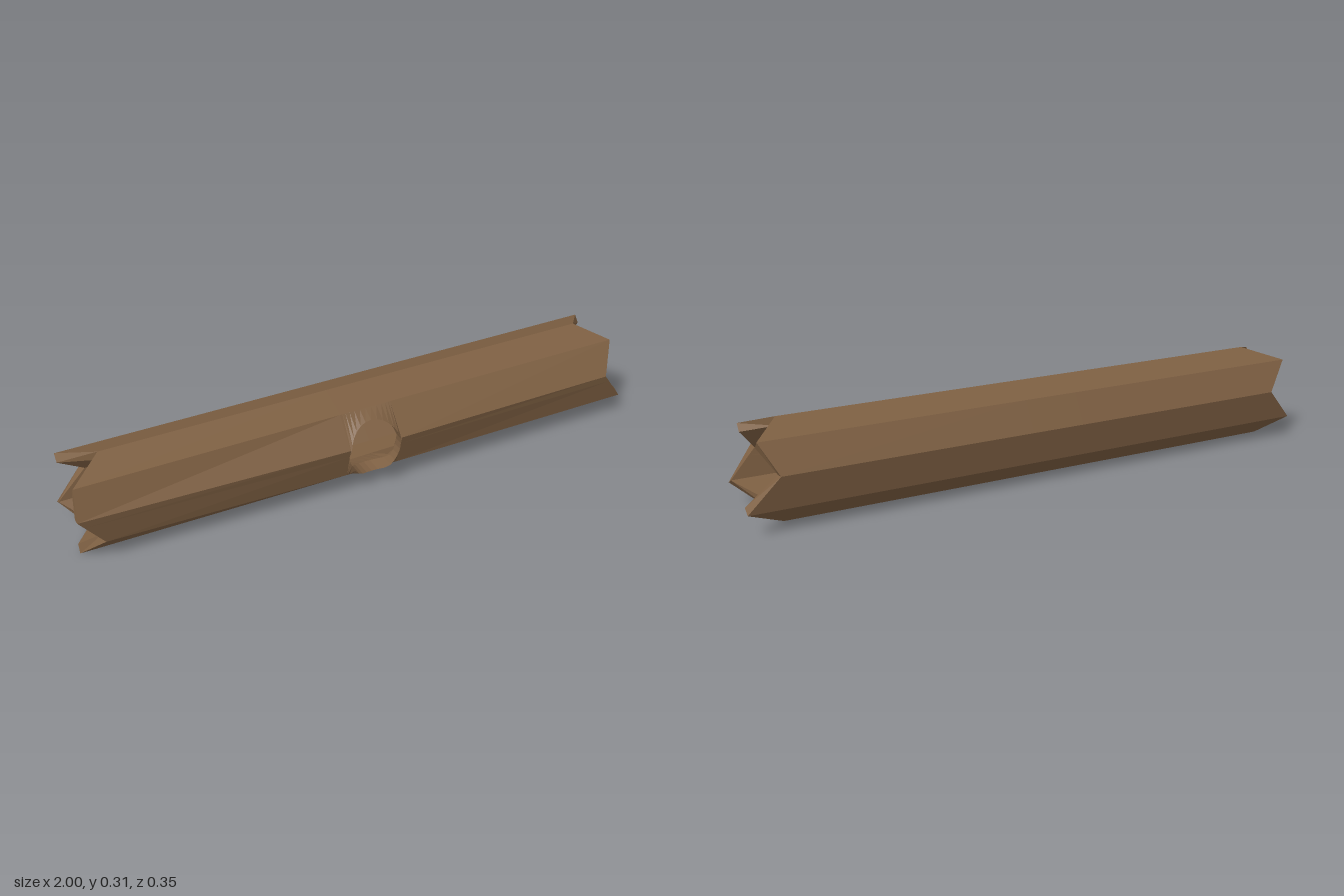
import * as THREE from 'three';

// Outer ring of the hollow log, from the top round the back and underneath:
// height, depth at the right end / middle / left end, x of the two jagged ends
const RING = [
  { y: 0.315, z: [-0.013, -0.013, -0.013], ends: [-0.88, 0.86] },
  { y: 0.278, z: [-0.118, -0.118, -0.118], ends: [-0.99, 0.95] },
  { y: 0.182, z: [-0.173, -0.173, -0.173], ends: [-0.9, 0.9] },
  { y: 0.072, z: [-0.153, -0.153, -0.153], ends: [-1, 1] },
  { y: 0.0, z: [-0.068, -0.068, -0.068], ends: [-0.92, 0.87] },
  { y: 0.0, z: [0.042, 0.016, -0.01], ends: [-0.99, 0.87] },
  { y: 0.072, z: [0.11, 0.145, 0.147], ends: [-0.92, 0.975] },
  { y: 0.183, z: [0.13, 0.172, 0.165], ends: [-1, 0.89] },
  { y: 0.278, z: [0.09, 0.09, 0.09], ends: [-0.99, 0.95] },
];
const CENTRE = { y: 0.158, z: -0.013 };
const INNER = 0.81;
const HOLE = { x: -0.025, y: 0.156, rx: 0.092, ry: 0.099, steps: 14, bulge: 0.02 };

function ringVertex(v, x, scale) {
  const mid = 0.07;
  const z = x < mid
    ? THREE.MathUtils.mapLinear(x, -1, mid, v.z[0], v.z[1])
    : THREE.MathUtils.mapLinear(x, mid, 1, v.z[1], v.z[2]);
  return new THREE.Vector3(x, CENTRE.y + (v.y - CENTRE.y) * scale, CENTRE.z + (z - CENTRE.z) * scale);
}

// Point at height y on a front run of vertices ordered from low to high
function pointAtHeight(run, y) {
  let i = 0;
  while (i < run.length - 2 && y > run[i + 1].y) i++;
  return run[i].clone().lerp(run[i + 1], (y - run[i].y) / (run[i + 1].y - run[i].y));
}

// One cross-section; the front is split into parts below and above the hole
function section(column, scale) {
  const p = RING.map((v) => ringVertex(v, column.end === undefined ? column.x : v.ends[column.end], scale));
  const run = p.slice(5);
  const s = column.open;
  const lower = pointAtHeight(run, HOLE.y - HOLE.ry * s);
  const upper = pointAtHeight(run, HOLE.y + HOLE.ry * s);
  lower.z += HOLE.bulge * s;
  upper.z += HOLE.bulge * s;
  const below = lower.y < p[6].y ? lower.clone() : p[6];
  const above = upper.y > p[7].y ? upper.clone() : p[7];
  return [...p.slice(0, 6), below, lower, upper, above, p[8]];
}
const LOWER = 7, UPPER = 8;

function surface(name, quads, material) {
  const pos = [];
  for (const [a, b, c, d] of quads)
    for (const v of [a, b, c, a, c, d]) pos.push(v.x, v.y, v.z);
  const geometry = new THREE.BufferGeometry();
  geometry.setAttribute('position', new THREE.Float32BufferAttribute(pos, 3));
  geometry.computeVertexNormals();
  const mesh = new THREE.Mesh(geometry, material);
  mesh.name = name;
  return mesh;
}

export function createModel() {
  const wood = new THREE.MeshStandardMaterial({ color: 0x7d5f42, flatShading: true, side: THREE.DoubleSide });

  // Cross-sections: one at each jagged end, and a close set across the hole
  const columns = [{ end: 0, open: 0 }];
  for (let k = 0; k <= HOLE.steps; k++) {
    const a = Math.PI * (1 - k / HOLE.steps);
    columns.push({ x: HOLE.x + HOLE.rx * Math.cos(a), open: Math.sin(a) });
  }
  columns.push({ end: 1, open: 0 });
  const outer = columns.map((c) => section(c, 1));
  const inner = columns.map((c) => section(c, INNER));

  const bark = [], hollow = [], ends = [], rim = [];
  const n = outer[0].length, last = columns.length - 1;
  for (let i = 0; i < n; i++) {
    if (i === LOWER) continue;
    const k = (i + 1) % n;
    for (let j = 0; j < last; j++) {
      bark.push([outer[j][i], outer[j + 1][i], outer[j + 1][k], outer[j][k]]);
      hollow.push([inner[j][i], inner[j][k], inner[j + 1][k], inner[j + 1][i]]);
    }
    // Cut faces at both ends
    ends.push([outer[last][i], inner[last][i], inner[last][k], outer[last][k]]);
    ends.push([outer[0][i], outer[0][k], inner[0][k], inner[0][i]]);
  }
  // Thickness of the wall round the hole
  for (let j = 1; j < last - 1; j++) {
    rim.push([outer[j][UPPER], inner[j][UPPER], inner[j + 1][UPPER], outer[j + 1][UPPER]]);
    rim.push([outer[j][LOWER], outer[j + 1][LOWER], inner[j + 1][LOWER], inner[j][LOWER]]);
  }

  const log = new THREE.Group();
  log.name = 'hollowLog';
  log.add(
    surface('bark', bark, wood),
    surface('hollowInside', hollow, wood),
    surface('jaggedEnds', ends, wood),
    surface('knotholeRim', rim, wood),
  );
  return log;
}
